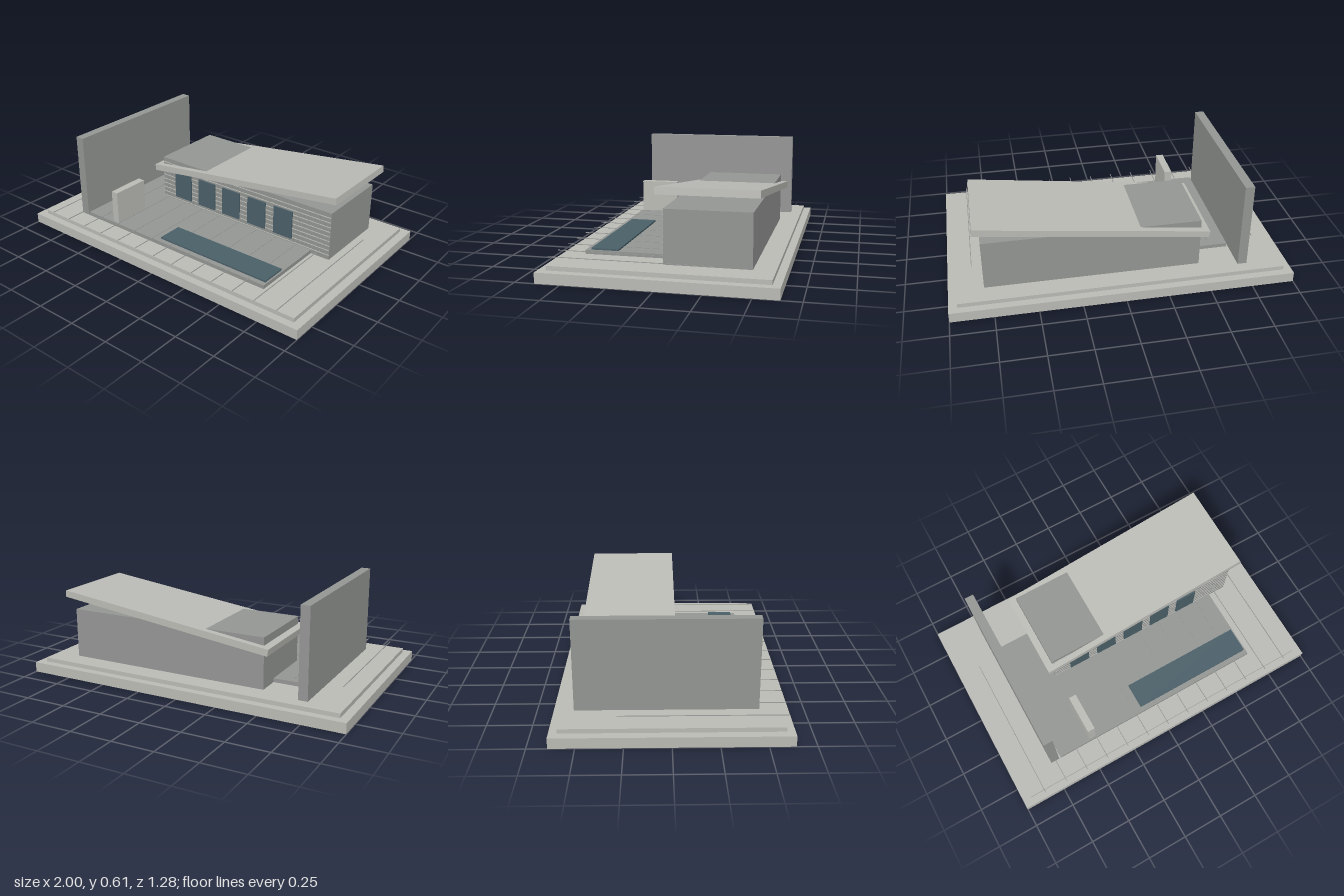
import * as THREE from 'three';
import { mergeGeometries } from 'three/addons/utils/BufferGeometryUtils.js';

function mat(name, color) {
  const m = new THREE.MeshStandardMaterial({ color });
  m.name = name;
  return m;
}

// Box given by its extents on each axis
function boxGeo([x0, x1], [y0, y1], [z0, z1]) {
  return new THREE.BoxGeometry(x1 - x0, y1 - y0, z1 - z0)
    .translate((x0 + x1) / 2, (y0 + y1) / 2, (z0 + z1) / 2);
}

export function createModel() {
  const concrete = mat('light concrete', 0xb9bab4);
  const stone = mat('grey stone', 0x939593);
  const glass = mat('blue grey glass', 0x4a5f68);
  const mortar = mat('pale mortar', 0xbcbdb7);

  const model = new THREE.Group();
  model.name = 'pavilion';
  const add = (name, geometry, material) => {
    const mesh = new THREE.Mesh(geometry, material);
    mesh.name = name;
    model.add(mesh);
    return mesh;
  };

  // Stepped base
  add('base', boxGeo([-1, 1], [0, 0.06], [-0.64, 0.64]), concrete);
  add('plinth', boxGeo([-0.95, 0.95], [0.06, 0.085], [-0.595, 0.595]), concrete);

  // Terrace with its long thin joint strips
  add('terrace', boxGeo([-0.68, 0.675], [0.085, 0.108], [-0.34, 0.475]), stone);
  const strips = [];
  for (let i = -6; i <= 6; i++) {
    const x = i * 0.143;
    strips.push(boxGeo([x - 0.002, x + 0.002], [0.107, 0.11], [-0.29, 0.62]));
  }
  add('terraceJoints', mergeGeometries(strips), stone);

  // Pool and walls
  add('pool', boxGeo([-0.097, 0.665], [0.108, 0.118], [0.288, 0.445]), glass);
  add('screenWall', boxGeo([-0.475, -0.43], [0.108, 0.313], [0.228, 0.465]), concrete);
  add('tallWall', boxGeo([-0.745, -0.69], [0.085, 0.608], [-0.525, 0.475]), stone);

  // House body
  const left = -0.465, right = 0.795;
  add('house', boxGeo([left, right], [0.085, 0.385], [-0.475, 0]), stone);

  // Brick courses on the front: pale bed joints and staggered upright joints
  const beds = [], uprights = [];
  const pitch = 0.03;
  for (let row = 0; row < 9; row++) {
    const y = 0.115 + row * pitch;
    beds.push(boxGeo([left, right], [y - 0.002, y + 0.002], [0, 0.003]));
    for (let x = left + (row % 2 ? 0.035 : 0.07); x < right; x += 0.07) {
      uprights.push(boxGeo([x - 0.001, x + 0.001], [y - pitch + 0.002, y - 0.002], [0, 0.002]));
    }
  }
  add('brickBedJoints', mergeGeometries(beds), mortar);
  add('brickUprightJoints', mergeGeometries(uprights), stone);

  // Row of windows
  for (let i = 0; i < 5; i++) {
    const x = -0.29 + i * 0.192;
    add('window', boxGeo([x - 0.065, x + 0.065], [0.14, 0.316], [0.005, 0.014]), glass);
  }

  // Sloping roof slab, cut by the low end of the house
  const roof = add('roof', new THREE.BoxGeometry(1.351, 0.04, 0.55), concrete);
  roof.position.set(0.165, 0.4, -0.24);
  roof.rotation.z = Math.atan2(0.173, 1.34);

  return model;
}
